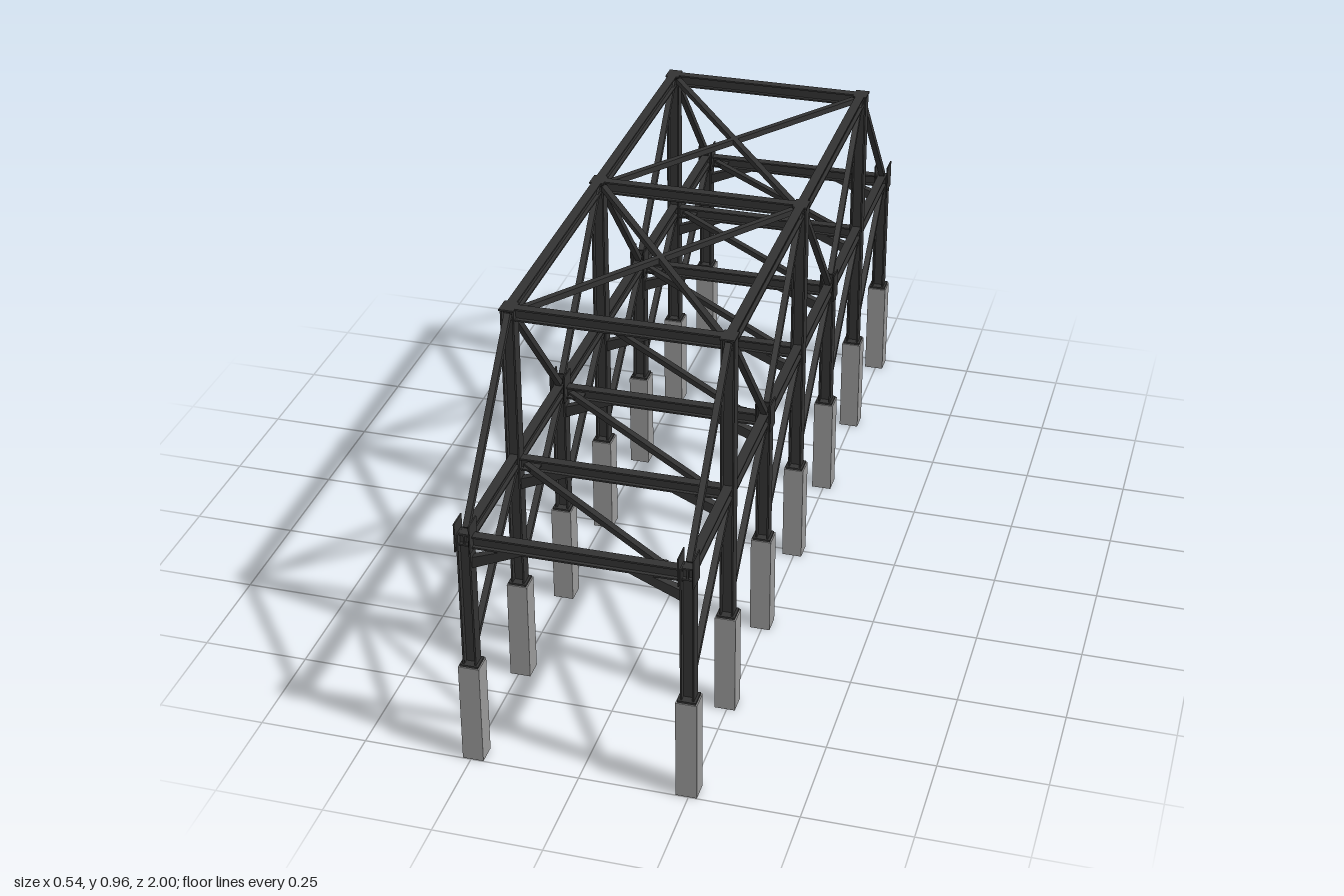
import * as THREE from 'three';

const steel = new THREE.MeshStandardMaterial({ color: 0x333333 });
steel.name = 'dark steel';
const concrete = new THREE.MeshStandardMaterial({ color: 0x999999 });
concrete.name = 'grey concrete';

const X = 0.245;                 // column line
const BAY = 0.325;               // column spacing along z
const FLOOR = 0.57, TOP = 0.945; // chord heights
const V = (x, y, z) => new THREE.Vector3(x, y, z);

// I-section: flanges at top and bottom, web between
function iSection(w, h, t) {
  const a = w / 2, b = h / 2, c = t / 2;
  return new THREE.Shape([
    [-a, -b], [a, -b], [a, -b + t], [c, -b + t], [c, b - t], [a, b - t],
    [a, b], [-a, b], [-a, b - t], [-c, b - t], [-c, -b + t], [-a, -b + t],
  ].map(([x, y]) => new THREE.Vector2(x, y)));
}

function rectSection(w, h) {
  return new THREE.Shape([[-w / 2, -h / 2], [w / 2, -h / 2], [w / 2, h / 2], [-w / 2, h / 2]]
    .map(([x, y]) => new THREE.Vector2(x, y)));
}

const COLUMN = iSection(0.032, 0.031, 0.004);
const CHORD = iSection(0.022, 0.03, 0.004);
const BRACE = rectSection(0.014, 0.014);

export function createModel() {
  const model = new THREE.Group();
  model.name = 'bridgeFrame';

  // Straight member from a to b; the section's depth follows "up"
  function member(name, section, a, b, up = V(0, 1, 0)) {
    const dir = b.clone().sub(a);
    const geo = new THREE.ExtrudeGeometry(section, { depth: dir.length(), bevelEnabled: false });
    dir.normalize();
    const side = up.clone().cross(dir).normalize();
    const depth = dir.clone().cross(side);
    geo.applyMatrix4(new THREE.Matrix4().makeBasis(side, depth, dir).setPosition(a));
    const mesh = new THREE.Mesh(geo, steel);
    mesh.name = name;
    model.add(mesh);
  }

  function box(name, material, w, h, d, x, y, z) {
    const mesh = new THREE.Mesh(new THREE.BoxGeometry(w, h, d), material);
    mesh.name = name;
    mesh.position.set(x, y, z);
    model.add(mesh);
  }

  // Knee brace below a cross beam
  const knee = new THREE.Shape([[-0.23, 0.503], [-0.11, 0.556], [-0.16, 0.556], [-0.23, 0.53]]
    .map(([x, y]) => new THREE.Vector2(x, y)));
  const kneeGeo = new THREE.ExtrudeGeometry(knee, { depth: 0.018, bevelEnabled: false });
  kneeGeo.translate(0, 0, -0.009);

  // Seven portal frames
  for (let i = -3; i <= 3; i++) {
    const z = i * BAY;
    const tall = i % 2 === 0;
    const raised = i === -2 || i === 0 || i === 2;
    const height = raised ? 0.96 : Math.abs(i) === 1 ? 0.612 : 0.587;
    for (const s of [-1, 1]) {
      box('footing', concrete, 0.048, 0.248, 0.048, s * X, 0.124, z);
      box('basePlate', steel, 0.042, 0.006, 0.042, s * X, 0.25, z);
      member('column', COLUMN, V(s * X, 0.25, z), V(s * X, height, z), V(1, 0, 0));
      if (tall) box('capPlate', steel, 0.034, 0.004, 0.042, s * X, height - 0.002, z);
      else {
        // Gusset where the truss diagonals meet the floor chord
        for (const e of [-1, 1])
          box('gussetPlate', steel, 0.003, 0.07, 0.046, s * X + e * 0.0165, 0.582, z);
      }
      const brace = new THREE.Mesh(kneeGeo, steel);
      brace.name = 'kneeBrace';
      brace.position.z = z;
      if (s > 0) brace.rotation.y = Math.PI;
      model.add(brace);
    }
    member('floorBeam', CHORD, V(-0.235, FLOOR - 0.001, z), V(0.235, FLOOR - 0.001, z));
    if (raised) member('topBeam', CHORD, V(-0.235, TOP, z), V(0.235, TOP, z));
  }

  // Long chords and side bracing
  for (const s of [-1, 1]) {
    member('floorChord', CHORD, V(s * X, 0.572, -0.985), V(s * X, 0.572, 0.985));
    member('topChord', CHORD, V(s * X, TOP, -0.66), V(s * X, TOP, 0.66));
    for (let i = -3; i < 3; i++) {
      const z0 = i * BAY, z1 = z0 + BAY;
      const lowFirst = i % 2 !== 0;
      member('trussDiagonal', BRACE,
        V(s * X, lowFirst ? 0.592 : 0.945, z0 + 0.008),
        V(s * X, lowFirst ? 0.945 : 0.592, z1 - 0.008));
      member('legBrace', BRACE, V(s * X, 0.27, z1 - 0.004), V(s * X, 0.555, z0 + 0.004));
    }
  }

  // Floor level bracing, one diagonal per bay with end plates
  for (let i = -3; i < 3; i++) {
    const z0 = i * BAY, z1 = z0 + BAY;
    member('floorBrace', BRACE, V(-0.215, FLOOR, z0 + 0.012), V(0.185, FLOOR, z1 - 0.015));
    box('bracePlate', steel, 0.035, 0.004, 0.03, -0.2, FLOOR, z0 + 0.018);
    box('bracePlate', steel, 0.035, 0.004, 0.03, 0.175, FLOOR, z1 - 0.018);
  }

  // Crossed bracing between the top chords
  for (const z of [-0.65, 0]) {
    for (const s of [-1, 1])
      member('topBrace', BRACE, V(-s * 0.23, TOP, z + 0.01), V(s * 0.23, TOP, z + 0.64));
  }

  return model;
}
